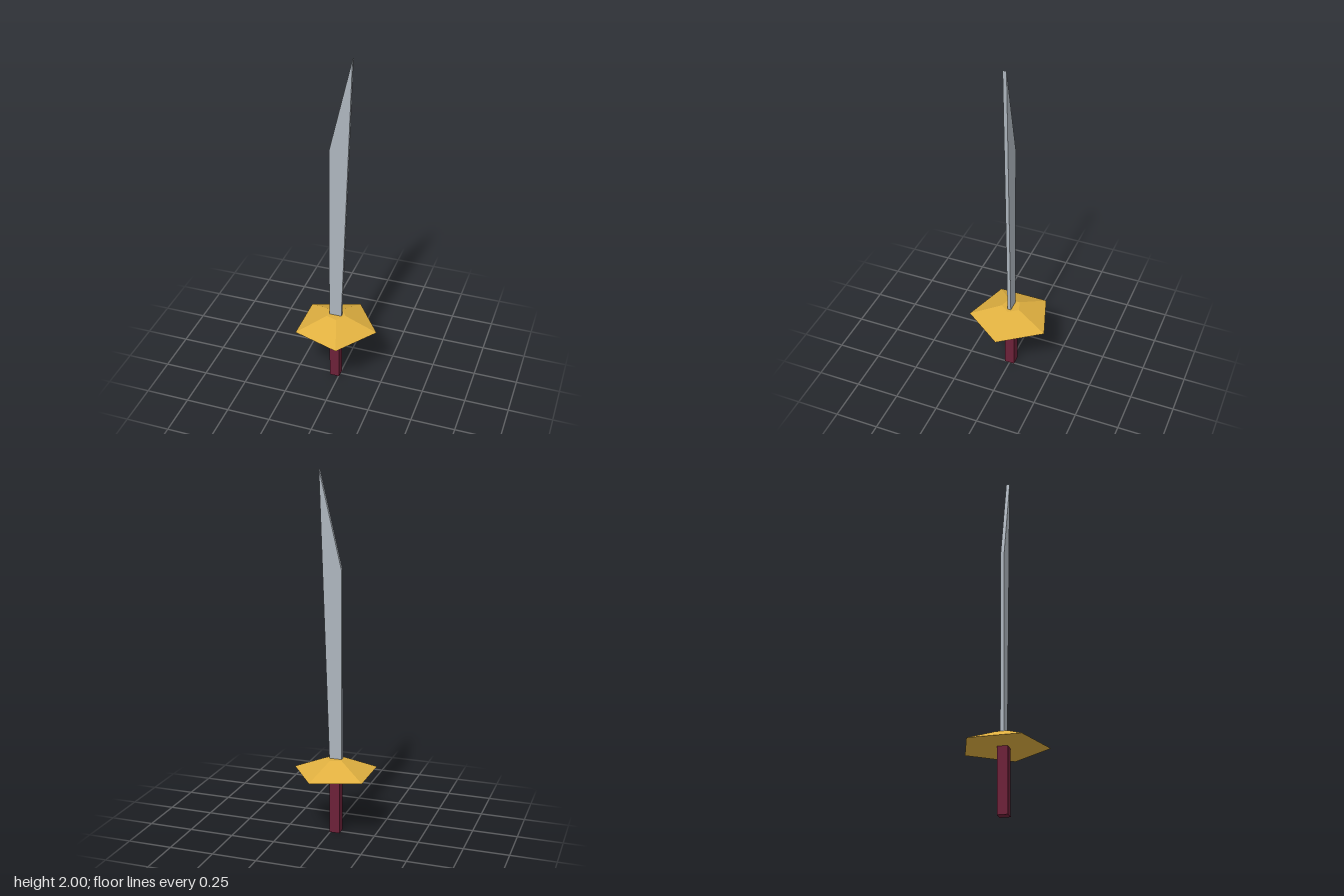
import * as THREE from 'three';

export function createModel() {
  const model = new THREE.Group();
  const steel = new THREE.MeshStandardMaterial({ color: 0xaeb6be });
  const gold = new THREE.MeshStandardMaterial({ color: 0xe0b040 });
  const maroon = new THREE.MeshStandardMaterial({ color: 0x6c2138 });
  steel.name = 'steel';
  gold.name = 'gold';
  maroon.name = 'maroon';

  const add = (name, geometry, material, x, y, z) => {
    const mesh = new THREE.Mesh(geometry, material);
    mesh.name = name;
    mesh.position.set(x, y, z);
    model.add(mesh);
  };

  // Square grip
  const gripHeight = 0.356;
  add('grip', new THREE.BoxGeometry(0.058, gripHeight, 0.056), maroon, -0.025, gripHeight / 2, 0);

  // Five-sided sloping guard with one corner toward +x; unshared vertices keep facets flat
  const guardHeight = 0.074;
  const guard = new THREE.CylinderGeometry(0.056, 0.241, guardHeight, 5, 1, false, Math.PI / 2).toNonIndexed();
  guard.computeVertexNormals();
  add('guard', guard, gold, -0.0235, gripHeight + guardHeight / 2, 0);

  // Flat blade, widening upward to a slanted point
  const outline = new THREE.Shape([
    [-0.061, 0.42], [0.01, 0.42], [0.067, 2], [-0.057, 1.48],
  ].map(([x, y]) => new THREE.Vector2(x, y)));
  const thickness = 0.02;
  const blade = new THREE.ExtrudeGeometry(outline, { depth: thickness, bevelEnabled: false });
  add('blade', blade, steel, 0, 0, -thickness / 2);

  return model;
}
